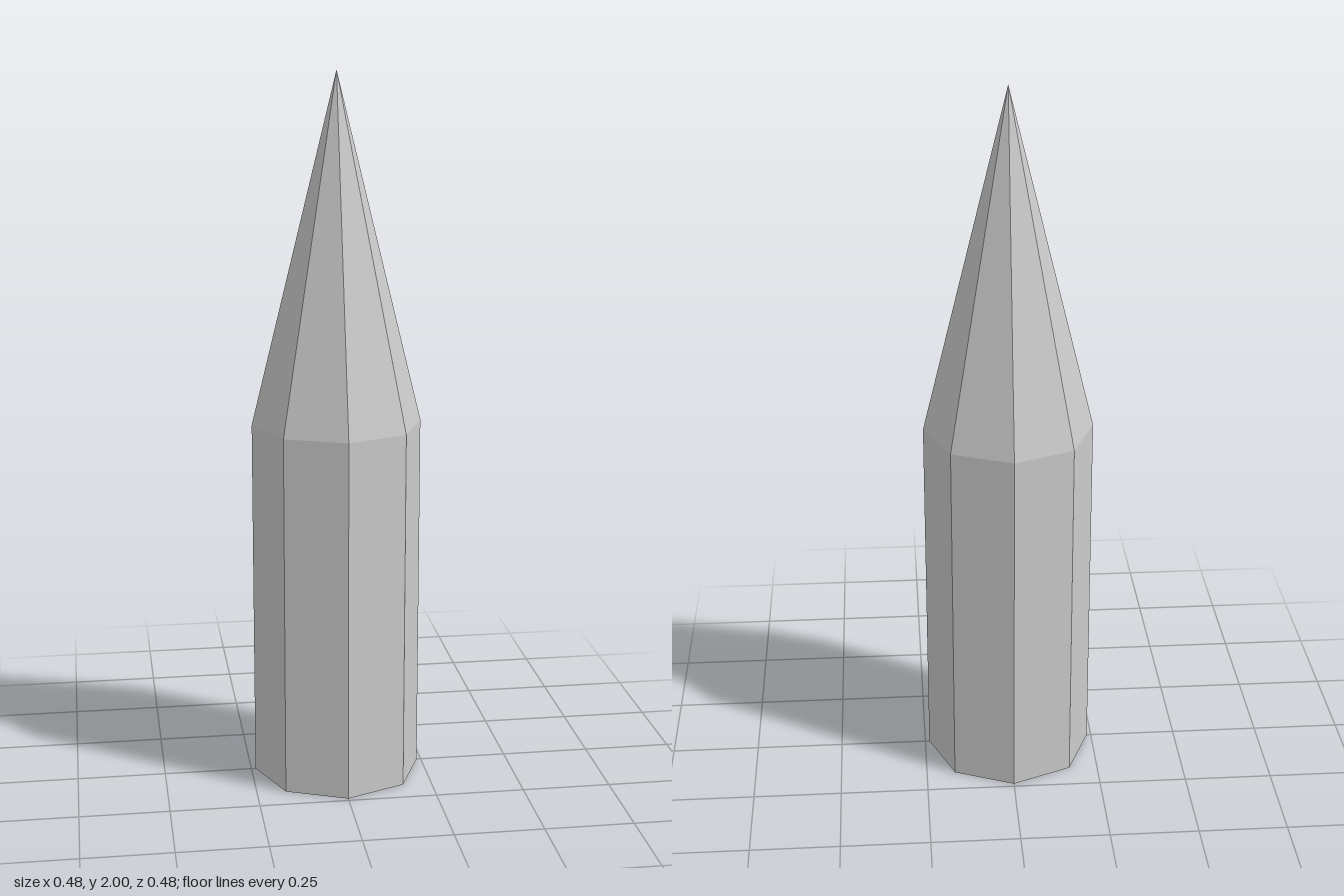
import * as THREE from 'three';

const RADIUS = 0.238;
const SHOULDER = 1.03;
const HEIGHT = 2;
const SIDES = 8;

export function createModel() {
  const group = new THREE.Group();
  group.name = 'pointedPost';
  const material = new THREE.MeshStandardMaterial({ color: 0xcccccc, flatShading: true });

  // Octagonal shaft, closed underneath; its top is covered by the point
  const shaft = new THREE.Mesh(
    new THREE.CylinderGeometry(RADIUS, RADIUS, SHOULDER, SIDES, 1, true), material);
  shaft.name = 'shaft';
  shaft.position.y = SHOULDER / 2;

  const base = new THREE.Mesh(new THREE.CircleGeometry(RADIUS, SIDES), material);
  base.name = 'base';
  base.rotation.x = Math.PI / 2;

  // Eight-sided point
  const tipHeight = HEIGHT - SHOULDER;
  const tip = new THREE.Mesh(
    new THREE.ConeGeometry(RADIUS, tipHeight, SIDES, 1, true), material);
  tip.name = 'tip';
  tip.position.y = SHOULDER + tipHeight / 2;

  group.add(shaft, base, tip);
  return group;
}
